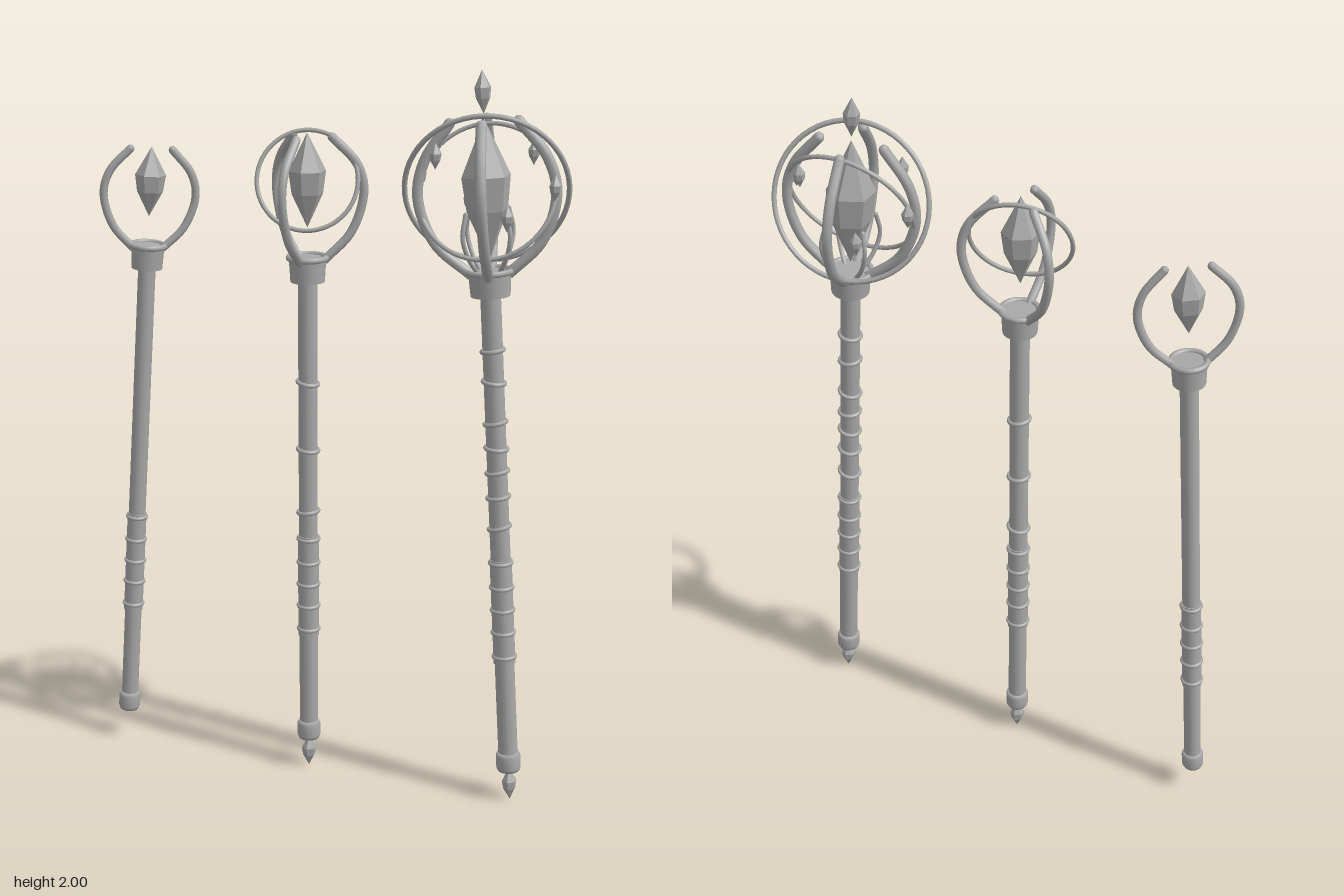
import * as THREE from 'three';

const V = (x, y) => new THREE.Vector2(x, y);

export function createModel() {
  const grey = new THREE.MeshStandardMaterial({ color: 0xa8a8a8 });
  grey.name = 'plain grey';
  const model = new THREE.Group();

  const add = (parent, name, geometry, x = 0, y = 0, z = 0) => {
    const mesh = new THREE.Mesh(geometry, grey);
    mesh.name = name;
    mesh.position.set(x, y, z);
    parent.add(mesh);
    return mesh;
  };

  // Six-sided faceted gem between two heights, with two shoulders
  const gem = (parent, name, r, y0, y1, x = 0, z = 0) => {
    const h = y1 - y0;
    const lathe = new THREE.LatheGeometry(
      [V(0, 0), V(r * 0.84, h * 0.36), V(r, h * 0.6), V(0, h)], 6).toNonIndexed();
    lathe.computeVertexNormals();
    add(parent, name, lathe, x, y0, z);
  };

  // Horizontal band around the shaft, optionally slanted
  const band = (parent, name, y, r, tube, slant = 0) => {
    const mesh = add(parent, name, new THREE.TorusGeometry(r, tube, 8, 24), 0, y);
    mesh.rotation.set(Math.PI / 2, slant, 0);
  };

  // Curved claws spaced evenly around the axis; points are [radius, height]
  const claws = (parent, name, count, start, points, tube) => {
    const curve = new THREE.CatmullRomCurve3(points.map(([r, y]) => new THREE.Vector3(r, y, 0)));
    const [tipR, tipY] = points[points.length - 1];
    for (let i = 0; i < count; i++) {
      const claw = new THREE.Group();
      claw.name = name;
      // Azimuth is measured from +x toward +z
      claw.rotation.y = -(start + i * 360 / count) * Math.PI / 180;
      add(claw, name + 'Bar', new THREE.TubeGeometry(curve, 24, tube, 8));
      add(claw, name + 'Tip', new THREE.SphereGeometry(tube, 8, 6), tipR, tipY);
      parent.add(claw);
    }
  };

  // Upright hoop that leans and turns around the gem
  const hoop = (parent, y, r, tube, lean, yaw) => {
    const mesh = add(parent, 'orbitHoop', new THREE.TorusGeometry(r, tube, 8, 56), 0, y);
    mesh.rotation.set(lean, yaw, 0, 'YXZ');
  };

  // Shaft, butt cap, grip, collar and bands shared by every staff
  const staff = (name, o) => {
    const g = new THREE.Group();
    g.name = name;
    const pivot = 0.1;
    const inner = new THREE.Group();
    inner.name = name + 'Parts';
    inner.position.y = -pivot;
    g.add(inner);
    g.position.set(o.x, pivot, o.z);
    g.rotation.set(o.tiltX, 0, o.tiltZ);
    model.add(g);

    const s = o.shaft, c = o.collar;
    add(inner, 'shaft', new THREE.CylinderGeometry(s, s, 1.34, 16), 0, 0.78);
    add(inner, 'grip', new THREE.CylinderGeometry(s + 0.003, s + 0.003, 0.3, 16), 0, 0.56);
    add(inner, 'buttCap', new THREE.LatheGeometry(
      [V(0, 0.09), V(s + 0.003, 0.09), V(s + 0.007, 0.1), V(s + 0.007, 0.135),
        V(s + 0.002, 0.145), V(0, 0.145)], 16));
    add(inner, 'collar', new THREE.CylinderGeometry(c, c * 0.92, 0.065, 20), 0, 1.4625);
    band(inner, 'collarRim', 1.494, c, 0.008);
    for (const y of [0.43, 0.5, 0.565, 0.63, 0.7]) band(inner, 'gripBand', y, s + 0.002, 0.006);
    for (const [y, slant] of o.bands) band(inner, 'shaftBand', y, s + 0.002, 0.006, slant);
    if (o.spike) gem(inner, 'buttSpike', 0.021, 0, 0.095);

    const p = o.prong;
    claws(inner, 'prong', p.count, p.start, [
      [c * 0.85, 1.485],
      [p.r * 0.78, 1.49 + (p.mid - 1.49) * 0.4],
      [p.r, p.mid],
      [p.r * 0.88, p.mid + (p.top - p.mid) * 0.5],
      [p.tip, p.top],
    ], p.tube);
    return inner;
  };

  // Small staff: two prongs
  const small = staff('smallStaff', {
    x: -0.613, z: 0.016, tiltX: -0.016, tiltZ: -0.068, shaft: 0.024, collar: 0.046, bands: [],
    prong: { count: 2, start: -30, r: 0.125, mid: 1.635, top: 1.758, tip: 0.057, tube: 0.011 },
  });
  gem(small, 'gem', 0.042, 1.575, 1.765);

  // Middle staff: three prongs and one hoop
  const middle = staff('middleStaff', {
    x: -0.045, z: 0.015, tiltX: 0, tiltZ: 0, shaft: 0.026, collar: 0.05, spike: true,
    bands: [[0.78, 0.12], [0.96, -0.1], [1.15, -0.16]],
    prong: { count: 3, start: 96, r: 0.149, mid: 1.67, top: 1.812, tip: 0.065, tube: 0.012 },
  });
  gem(middle, 'gem', 0.05, 1.575, 1.825);
  hoop(middle, 1.7, 0.133, 0.006, -0.36, 0.25);

  // Large staff: four prongs, crossing hoops and floating shards
  const large = staff('largeStaff', {
    x: 0.545, z: 0.018, tiltX: -0.013, tiltZ: 0.07, shaft: 0.027, collar: 0.056, spike: true,
    bands: [[0.8, 0.2], [0.885, 0.1], [0.955, 0.15], [1.02, -0.1], [1.09, 0.15], [1.2, -0.15], [1.285, 0.1]],
    prong: { count: 4, start: 80, r: 0.177, mid: 1.69, top: 1.875, tip: 0.087, tube: 0.014 },
  });
  gem(large, 'gem', 0.065, 1.52, 1.885);
  gem(large, 'finial', 0.022, 1.895, 2.005);
  hoop(large, 1.704, 0.209, 0.007, 0.38, 0.2);
  hoop(large, 1.7, 0.178, 0.006, -0.4, 0.06);
  claws(large, 'innerClaw', 4, 35, [[0.03, 1.485], [0.065, 1.53], [0.085, 1.59], [0.072, 1.65]], 0.006);
  const shards = [[0.515, 1.65, 0.105], [0.317, 1.79, 0.07], [0.248, 1.72, -0.036],
    [0.36, 1.65, -0.11], [0.535, 1.79, -0.08], [0.617, 1.72, 0.03]];
  for (const [x, y, z] of shards) gem(model, 'shard', 0.016, y - 0.034, y + 0.034, x, z);

  return model;
}
